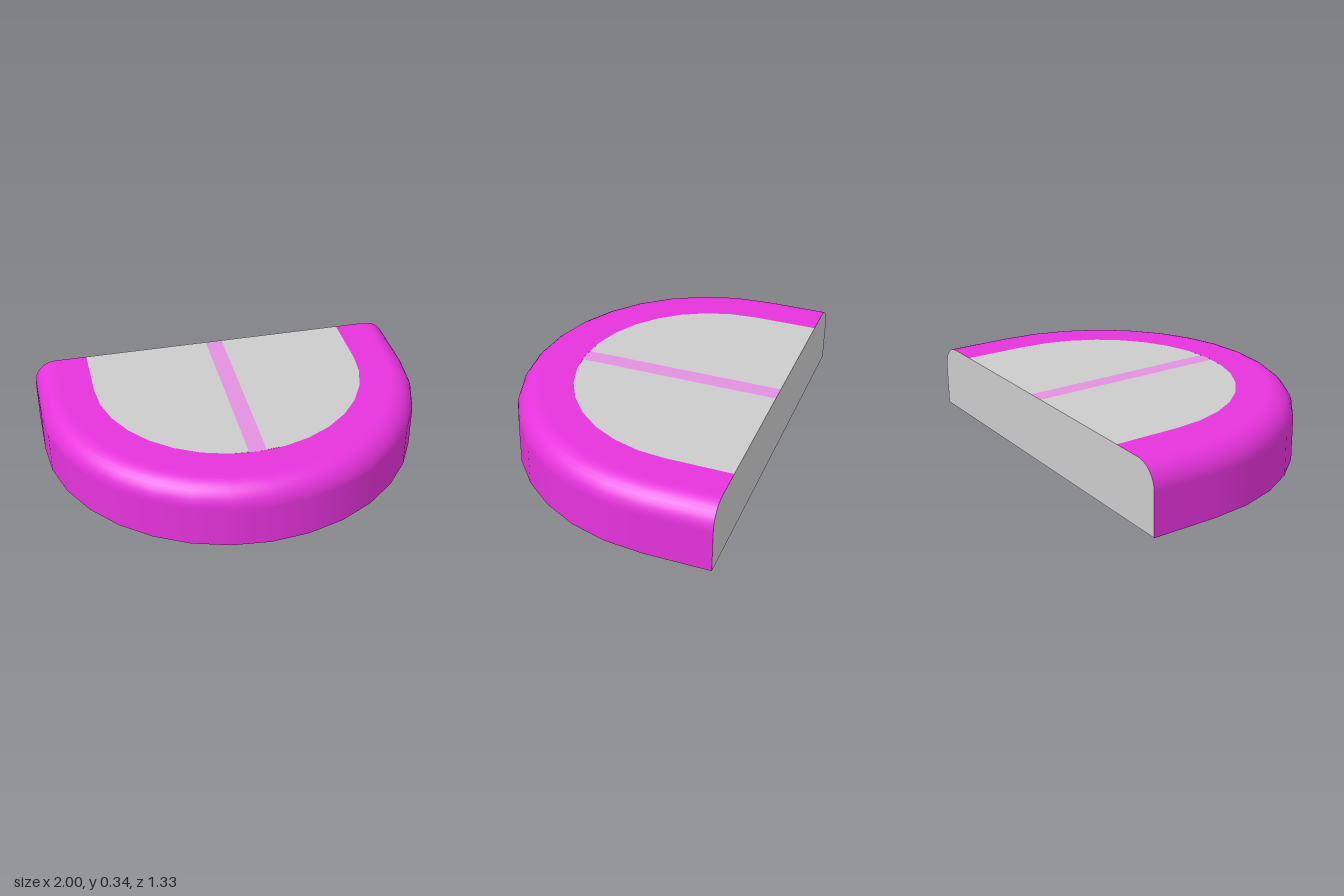
import * as THREE from 'three';

const BACK = -0.667, CENTRE = -0.333, HEIGHT = 0.338, BEVEL = 0.12, INNER = 0.713, STRIPE = 0.045;
const ARC_STEPS = 16, BEVEL_STEPS = 8;

// Stations along the D-shaped outline: outward direction and the z it starts from
function stations() {
  const list = [{ nx: 1, nz: 0, z: BACK }];
  for (let i = 0; i <= ARC_STEPS; i++) {
    const a = (i / ARC_STEPS) * Math.PI;
    list.push({ nx: Math.cos(a), nz: Math.sin(a), z: CENTRE });
  }
  list.push({ nx: -1, nz: 0, z: BACK });
  return list;
}

// Rim section from the ground up: radius, height and normal (outward, up)
function rimProfile() {
  const p = [{ r: 1, y: 0, out: 1, up: 0 }];
  for (let j = 0; j <= BEVEL_STEPS; j++) {
    const a = (j / BEVEL_STEPS) * Math.PI / 2;
    const out = Math.cos(a), up = Math.sin(a);
    p.push({ r: 1 - BEVEL + BEVEL * out, y: HEIGHT - BEVEL + BEVEL * up, out, up });
  }
  p.push({ r: INNER, y: HEIGHT, out: 0, up: 1 });
  return p;
}

// Outline at radius r as [x, z] points
const outline = (r) => stations().map((s) => [s.nx * r, s.z + s.nz * r]);

function rimGeometry() {
  const path = stations(), profile = rimProfile(), m = profile.length;
  const pos = [], nor = [], idx = [];
  path.forEach((s, i) => profile.forEach((p, j) => {
    pos.push(s.nx * p.r, p.y, s.z + s.nz * p.r);
    nor.push(s.nx * p.out, p.up, s.nz * p.out);
    if (i < path.length - 1 && j < m - 1) {
      const a = i * m + j;
      idx.push(a, a + 1, a + m, a + 1, a + m + 1, a + m);
    }
  }));
  const g = new THREE.BufferGeometry();
  g.setAttribute('position', new THREE.Float32BufferAttribute(pos, 3));
  g.setAttribute('normal', new THREE.Float32BufferAttribute(nor, 3));
  g.setIndex(idx);
  return g;
}

function flat(points) {
  return new THREE.ShapeGeometry(new THREE.Shape(points.map(([x, y]) => new THREE.Vector2(x, y))));
}

// Flat face on the top, from [x, z] points
const topFace = (points) =>
  flat(points.map(([x, z]) => [x, -z])).rotateX(-Math.PI / 2).translate(0, HEIGHT, 0);

export function createModel() {
  const model = new THREE.Group();
  const grey = new THREE.MeshStandardMaterial({ color: 0xcccccc });
  const magenta = new THREE.MeshStandardMaterial({ color: 0xe633dc });
  const pink = new THREE.MeshStandardMaterial({ color: 0xe291e0 });
  const add = (name, geometry, material) => {
    const mesh = new THREE.Mesh(geometry, material);
    mesh.name = name;
    model.add(mesh);
  };

  // Coloured rim with rounded upper edge
  add('rim', rimGeometry(), magenta);

  // Top panels on both sides of the stripe
  const inner = outline(INNER), tip = CENTRE + INNER;
  const stripeEnd = tip - 0.005;
  for (const side of [1, -1]) {
    const edge = inner.filter(([x]) => x * side > STRIPE);
    const cut = [[side * STRIPE, stripeEnd], [side * STRIPE, BACK]];
    add(side > 0 ? 'leftTopPanel' : 'rightTopPanel',
      topFace(side > 0 ? [...edge, ...cut] : [...edge, ...cut.reverse()]), grey);
  }

  // Centre stripe, flush with the panels
  add('centreStripe', topFace([
    [STRIPE, BACK], [STRIPE, stripeEnd], [0, tip], [-STRIPE, stripeEnd], [-STRIPE, BACK],
  ]), pink);

  // Flat back wall, following the rim section
  const half = rimProfile().map((p) => [p.r, p.y]);
  const mirrored = half.map(([x, y]) => [-x, y]).reverse();
  add('backWall', flat([...half, ...mirrored]).rotateY(Math.PI).translate(0, 0, BACK), grey);

  // Flat underside
  add('underside', flat(outline(1)).rotateX(Math.PI / 2), grey);

  return model;
}
